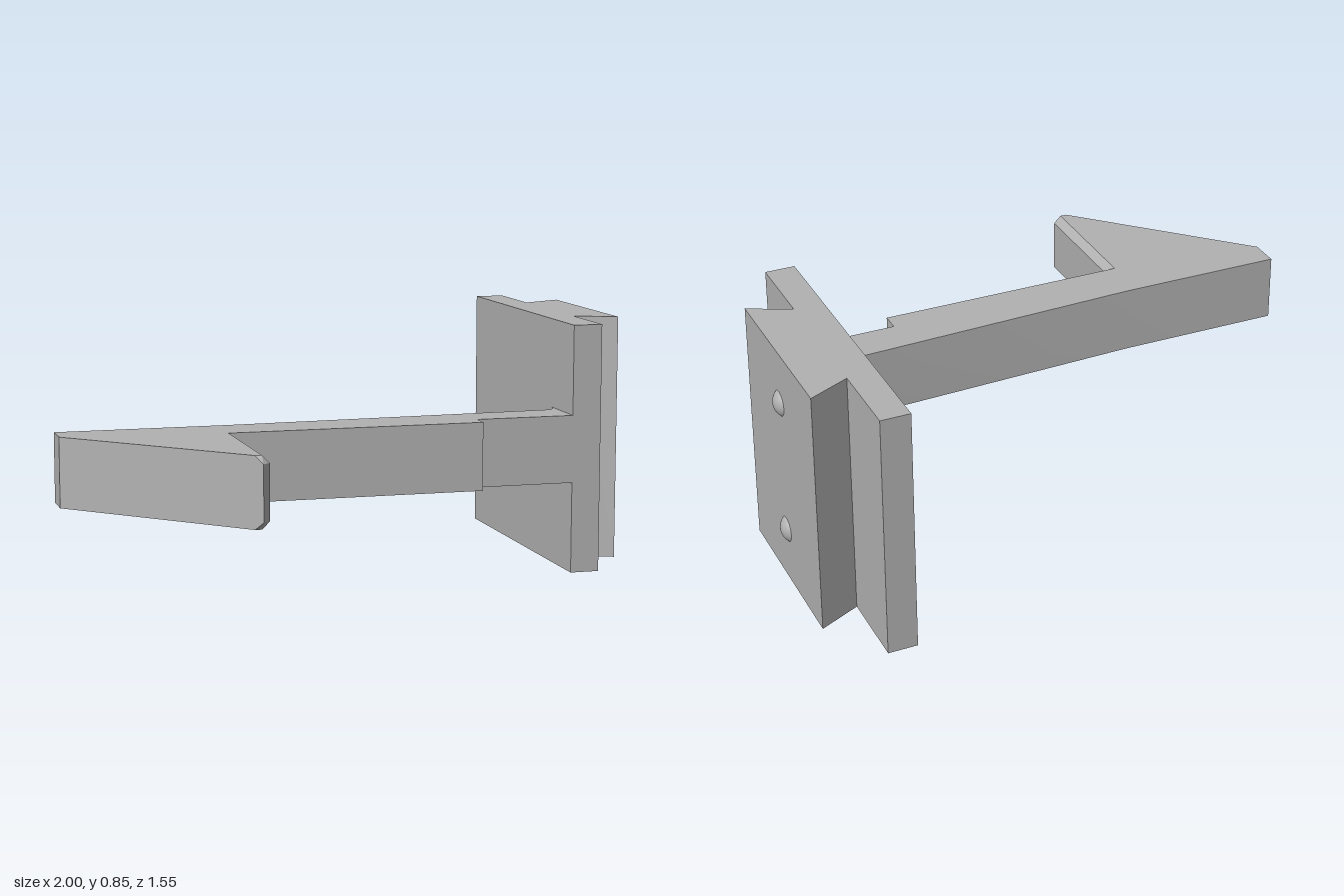
import * as THREE from 'three';
import { toCreasedNormals } from 'three/addons/utils/BufferGeometryUtils.js';
import { ConvexGeometry } from 'three/addons/geometries/ConvexGeometry.js';

const ARM_BOTTOM = 0.31, ARM_TOP = 0.54, PLATE_TOP = 0.845;

// Extrudes a plan outline (x, z) between two heights.
function extrudePlan(shape, bottom, top) {
  const geometry = new THREE.ExtrudeGeometry(shape, {
    depth: top - bottom, bevelEnabled: false, curveSegments: 10,
  });
  geometry.rotateX(Math.PI / 2).translate(0, top, 0);
  return toCreasedNormals(geometry, 0.4);
}

function outline(points) {
  return new THREE.Shape(points.map(([x, z]) => new THREE.Vector2(x, z)));
}

export function createModel() {
  const group = new THREE.Group();
  const grey = new THREE.MeshStandardMaterial({ color: 0xb2b2b2 });
  grey.name = 'grey';
  const add = (name, geometry) => {
    const mesh = new THREE.Mesh(geometry, grey);
    mesh.name = name;
    group.add(mesh);
    return mesh;
  };

  // Mounting plate with dovetail rail
  add('mountingPlate', extrudePlan(outline([
    [0.74, -0.78], [0.84, -0.78], [0.84, -0.51], [0.98, -0.577],
    [0.98, 0.03], [0.84, -0.038], [0.84, 0.235], [0.74, 0.235],
  ]), 0, PLATE_TOP));

  // Tapered arm with a stepped front and a fillet at the plate
  const arm = new THREE.Shape();
  arm.moveTo(-1, 0.132);
  arm.lineTo(-0.43, 0.132);
  arm.lineTo(0.695, 0.087);
  arm.bezierCurveTo(0.725, 0.085, 0.735, 0.065, 0.74, 0.03);
  for (const [x, z] of [[0.74, 0.235], [0.4, 0.235], [0.4, 0.3], [-0.935, 0.3], [-1, 0.235]]) {
    arm.lineTo(x, z);
  }
  add('arm', extrudePlan(arm, ARM_BOTTOM, ARM_TOP));

  // Hook wedge with chamfered inner edges and tip, mirrored about mid-height
  const c = 0.025, hookPoints = [];
  for (const [y, inset] of [[ARM_TOP, -c], [ARM_BOTTOM, c]]) {
    hookPoints.push(
      new THREE.Vector3(-0.935, y, 0.3),
      new THREE.Vector3(-0.463, y, 0.3),
      new THREE.Vector3(-0.438, y + inset, 0.3),
      new THREE.Vector3(-0.485, y, 0.75),
      new THREE.Vector3(-0.463, y, 0.75),
      new THREE.Vector3(-0.463, y + inset, 0.772),
      new THREE.Vector3(-0.438, y + inset, 0.75),
    );
  }
  add('hook', new ConvexGeometry(hookPoints));

  // Domed detent bumps on the rail face
  const rim = 0.042, height = 0.02;
  const radius = (rim * rim + height * height) / (2 * height);
  const dome = new THREE.SphereGeometry(radius, 32, 10, 0, Math.PI * 2, 0, Math.asin(rim / radius));
  dome.rotateZ(-Math.PI / 2).translate(1 - radius, 0, 0);
  for (const [name, y] of [['lowerBump', 0.19], ['upperBump', 0.66]]) {
    add(name, dome).position.set(0, y, -0.27);
  }

  return group;
}
